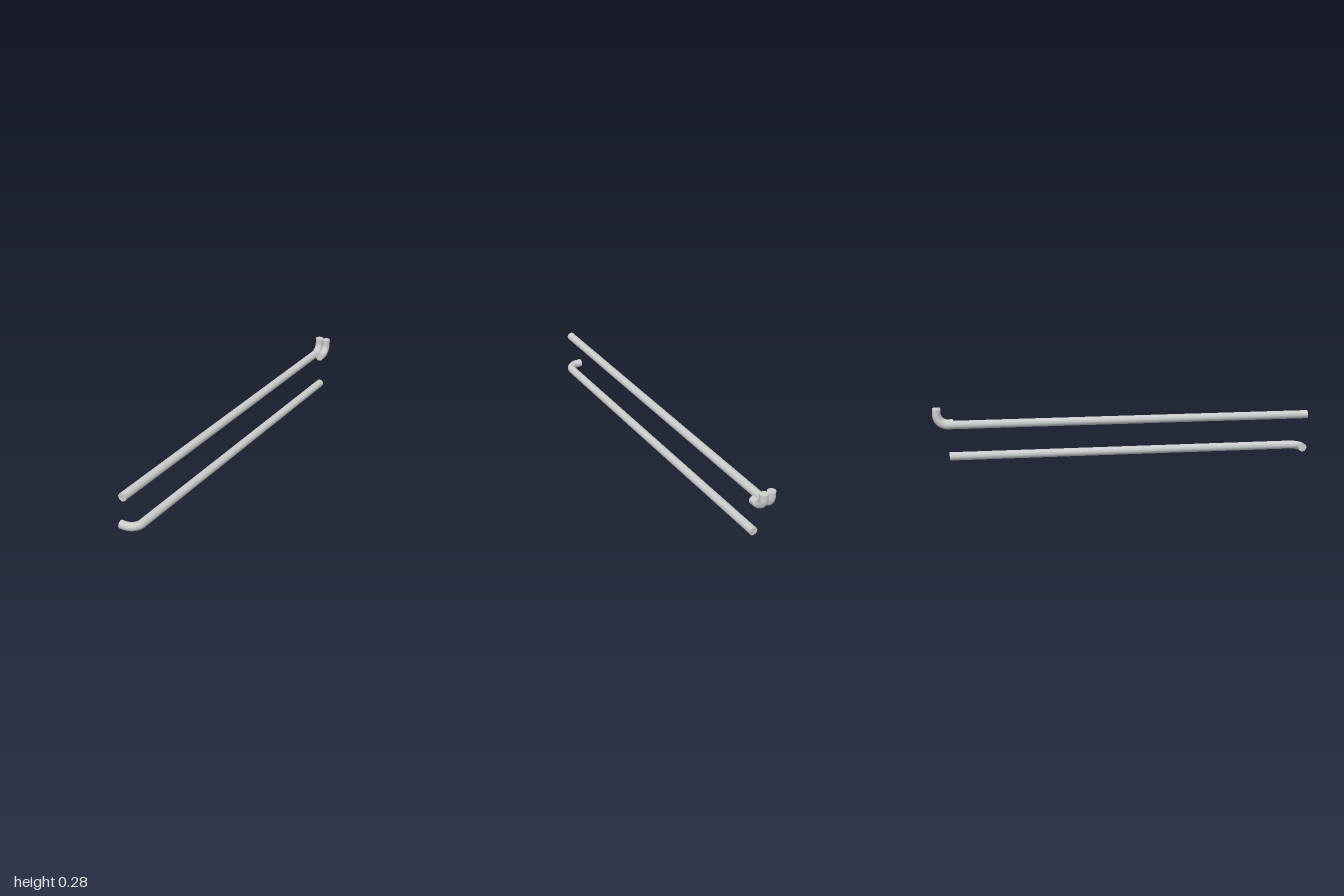
import * as THREE from 'three';

const R = 0.0219;    // pipe radius
const BEND = 0.055;  // centreline radius of the elbows
const LEG = 0.0825;  // elbow corner to open end
const SIDES = 40;

const material = new THREE.MeshStandardMaterial({ color: 0xcccccc });

function add(parent, name, geometry) {
  const mesh = new THREE.Mesh(geometry, material);
  mesh.name = name;
  parent.add(mesh);
  return mesh;
}

// Straight capped pipe along z
function straightPipe(name, x, y, z0, z1) {
  const g = new THREE.CylinderGeometry(R, R, z1 - z0, SIDES).rotateX(Math.PI / 2);
  g.translate(x, y, (z0 + z1) / 2);
  return new THREE.Mesh(g, material).translateX(0), Object.assign(new THREE.Mesh(g, material), { name });
}

// Quarter elbow with its corner at the origin and legs along +x and +y
function elbow(name) {
  const group = new THREE.Group();
  group.name = name;
  const bend = new THREE.TorusGeometry(BEND, R, SIDES, 16, Math.PI / 2);
  bend.rotateZ(Math.PI).translate(BEND, BEND, 0);
  add(group, 'bend', bend);
  const len = LEG - BEND, mid = (LEG + BEND) / 2;
  add(group, 'collarX', new THREE.CylinderGeometry(R, R, len, SIDES).rotateZ(Math.PI / 2).translate(mid, 0, 0));
  add(group, 'collarY', new THREE.CylinderGeometry(R, R, len, SIDES).translate(0, mid, 0));
  return group;
}

export function createModel() {
  const model = new THREE.Group();
  model.name = 'pipeRun';
  const xL = 0.027, xR = -0.016, yTop = 0.197, yLow = R;
  const zBack = -0.978, zFront = 0.968;

  // Upper run with a pair of upturned elbows at the back
  model.add(straightPipe('upperPipe', xR, yTop, zBack + LEG, 1));
  for (const [name, x] of [['upperElbow', xR], ['spareElbow', xL]]) {
    const e = elbow(name);
    e.rotation.y = -Math.PI / 2; // x leg points to +z
    e.position.set(x, yTop, zBack);
    model.add(e);
  }

  // Lower run with an elbow turning sideways at the front
  model.add(straightPipe('lowerPipe', xL, yLow, -0.917, zFront - LEG));
  const low = elbow('lowerElbow');
  // x leg points to -x, y leg points to -z
  low.rotation.set(-Math.PI / 2, 0, Math.PI, 'XYZ');
  low.rotation.setFromRotationMatrix(new THREE.Matrix4().makeBasis(
    new THREE.Vector3(-1, 0, 0), new THREE.Vector3(0, 0, -1), new THREE.Vector3(0, -1, 0)));
  low.position.set(xL, yLow, zFront);
  model.add(low);

  return model;
}
